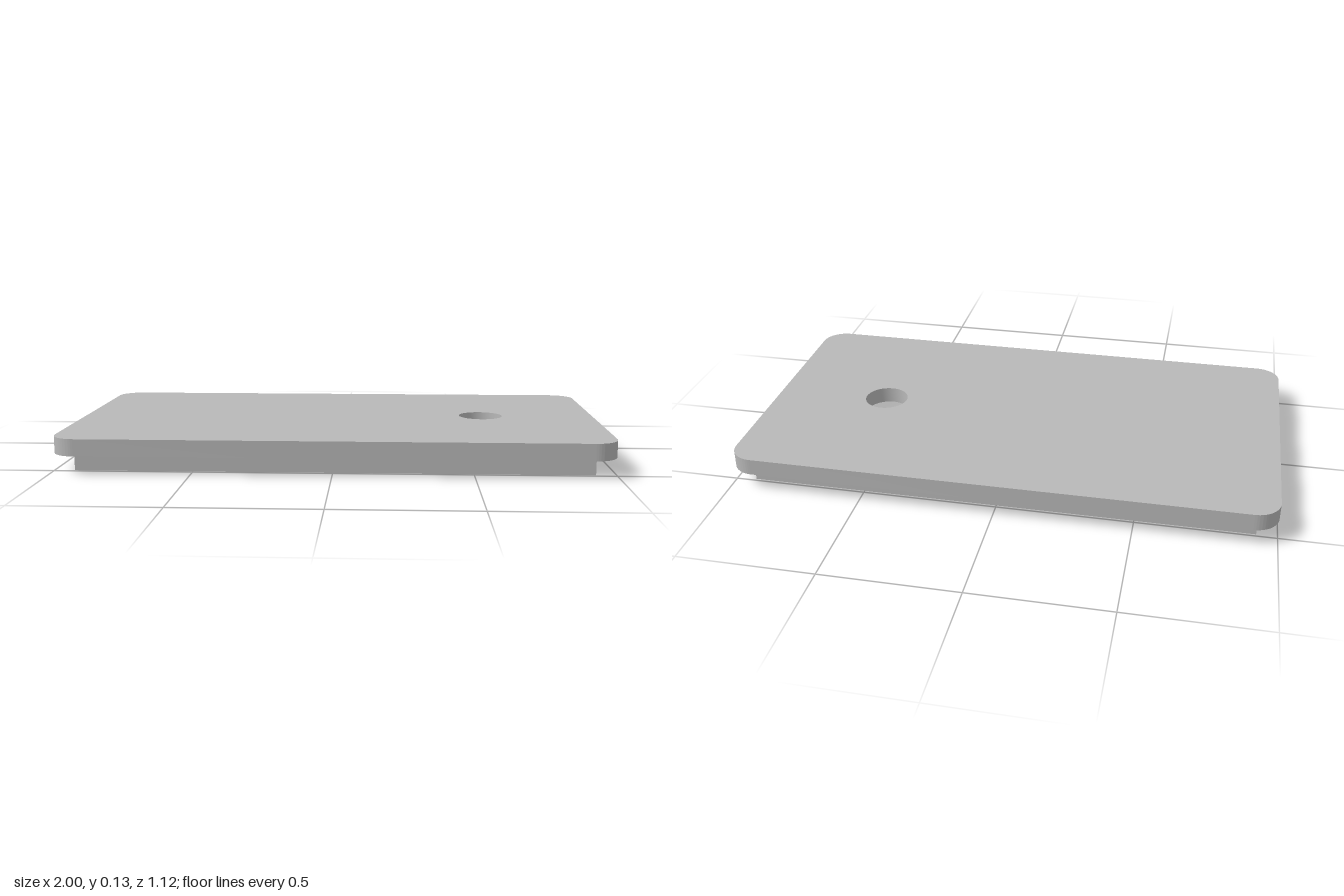
import * as THREE from 'three';
import { toCreasedNormals } from 'three/addons/utils/BufferGeometryUtils.js';

const PLATE = { halfX: 1, halfZ: 0.56, radius: 0.09, bottom: 0.065, top: 0.127 };
const RIM = { halfX: 0.927, halfZ: 0.49, wall: 0.053 };
const HOLE = { x: 0.56, radius: 0.084 };

// Adds a rectangle outline, with rounded corners when r > 0
function rectangle(path, hx, hz, r = 0) {
  if (r === 0) {
    path.moveTo(-hx, -hz).lineTo(hx, -hz).lineTo(hx, hz).lineTo(-hx, hz).closePath();
    return path;
  }
  path.moveTo(-hx + r, -hz);
  path.absarc(hx - r, -hz + r, r, -Math.PI / 2, 0);
  path.absarc(hx - r, hz - r, r, 0, Math.PI / 2);
  path.absarc(-hx + r, hz - r, r, Math.PI / 2, Math.PI);
  path.absarc(-hx + r, -hz + r, r, Math.PI, Math.PI * 1.5);
  path.closePath();
  return path;
}

// Extrudes a flat outline upwards from y = bottom to y = top
function slab(name, shape, bottom, top, material) {
  const geometry = new THREE.ExtrudeGeometry(shape, {
    depth: top - bottom, bevelEnabled: false, curveSegments: 24,
  });
  geometry.rotateX(-Math.PI / 2).translate(0, bottom, 0);
  const mesh = new THREE.Mesh(toCreasedNormals(geometry, Math.PI / 6), material);
  mesh.name = name;
  return mesh;
}

export function createModel() {
  const grey = new THREE.MeshStandardMaterial({ color: 0xb8b8b8 });
  grey.name = 'grey';

  // Rounded cover plate with a round through hole
  const plate = rectangle(new THREE.Shape(), PLATE.halfX, PLATE.halfZ, PLATE.radius);
  plate.holes.push(new THREE.Path().absarc(HOLE.x, 0, HOLE.radius, 0, Math.PI * 2, true));

  // Square-cornered locating rim on the underside
  const rim = rectangle(new THREE.Shape(), RIM.halfX, RIM.halfZ);
  rim.holes.push(rectangle(new THREE.Path(), RIM.halfX - RIM.wall, RIM.halfZ - RIM.wall));

  const lid = new THREE.Group();
  lid.name = 'lid';
  lid.add(
    slab('coverPlate', plate, PLATE.bottom, PLATE.top, grey),
    slab('locatingRim', rim, 0, PLATE.bottom, grey),
  );
  return lid;
}
